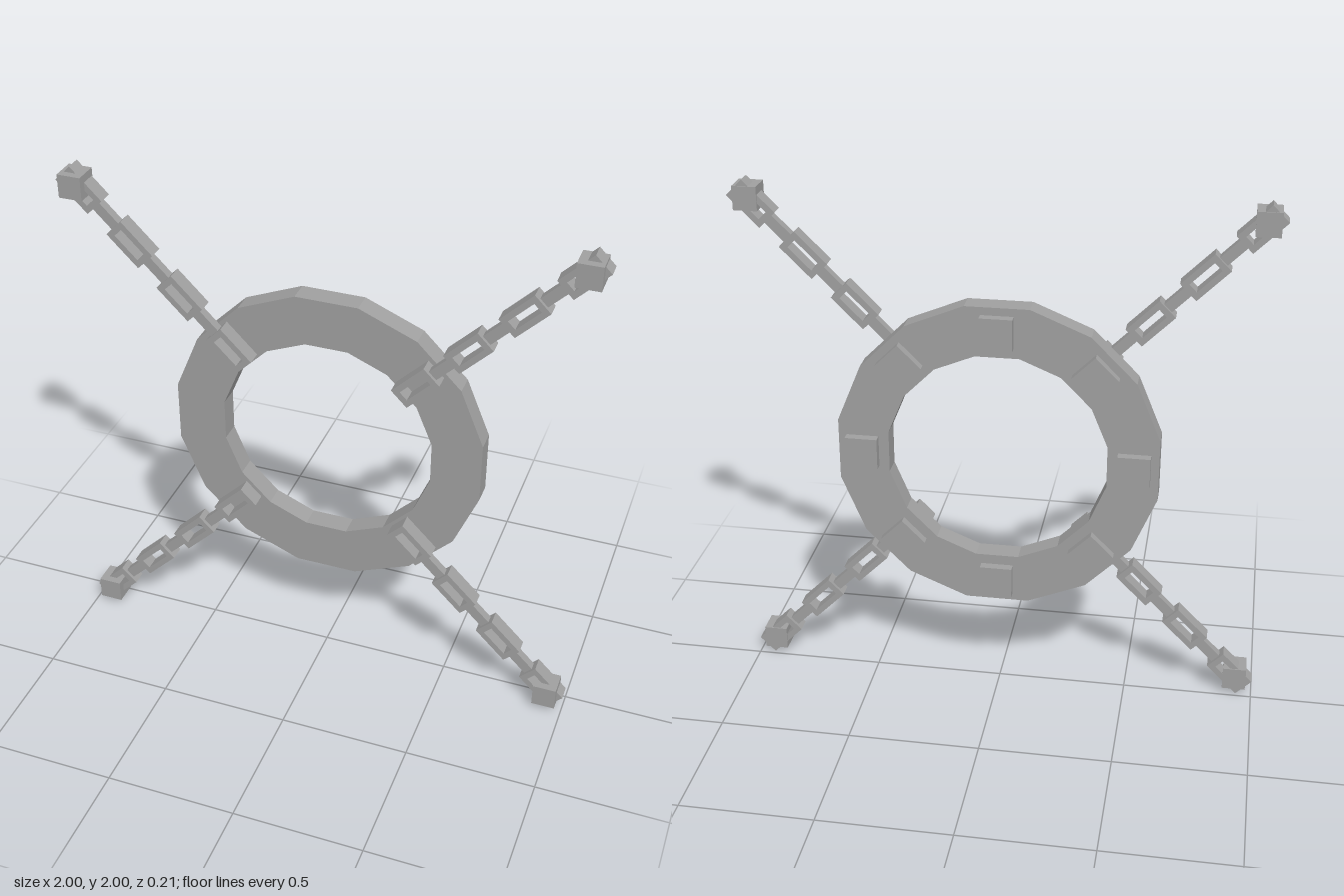
import * as THREE from 'three';

const CENTER_Y = 1;
const LINK = { length: 0.165, width: 0.085, bar: 0.023, depth: 0.06, z: 0.045 };
const LINK_SPACING = 0.2615;
const LAST_LINK = 1.289;

// Regular polygon outline, flat side up
function polygon(target, radius, sides) {
  const points = [];
  for (let i = 0; i < sides; i++) {
    const a = ((i + 0.5) / sides) * Math.PI * 2;
    points.push(new THREE.Vector2(Math.cos(a) * radius, Math.sin(a) * radius));
  }
  return target.setFromPoints(points);
}

function rectangle(target, w, h) {
  return target.setFromPoints([
    new THREE.Vector2(-w / 2, -h / 2), new THREE.Vector2(w / 2, -h / 2),
    new THREE.Vector2(w / 2, h / 2), new THREE.Vector2(-w / 2, h / 2),
  ]);
}

// Outline with a hole, extruded from z = 0 to z = depth
function extrudeFrame(shape, hole, depth) {
  shape.holes.push(hole);
  return new THREE.ExtrudeGeometry(shape, { depth, bevelEnabled: false });
}

export function createModel() {
  const metal = new THREE.MeshStandardMaterial({ color: 0xa0a0a0 });
  metal.name = 'grey metal';

  const model = new THREE.Group();
  model.name = 'chainedRing';
  const add = (parent, name, geometry, x, y, z) => {
    const mesh = new THREE.Mesh(geometry, metal);
    mesh.name = name;
    mesh.position.set(x, y, z);
    parent.add(mesh);
    return mesh;
  };

  // Sixteen-sided ring
  const ringGeometry = extrudeFrame(
    polygon(new THREE.Shape(), 0.613, 16), polygon(new THREE.Path(), 0.418, 16), 0.082);
  add(model, 'ring', ringGeometry, 0, CENTER_Y, -0.07);

  // Eight square pads on the back of the ring
  const padGeometry = new THREE.BoxGeometry(0.122, 0.122, 0.044);
  for (let i = 0; i < 8; i++) {
    const a = (i / 8) * Math.PI * 2;
    const pad = add(model, 'backPad', padGeometry,
      Math.cos(a) * 0.51, CENTER_Y + Math.sin(a) * 0.51, -0.082);
    pad.rotation.z = a;
  }

  // Four diagonal chains, each running outward along its own x axis
  const linkGeometry = extrudeFrame(
    rectangle(new THREE.Shape(), LINK.length, LINK.width),
    rectangle(new THREE.Path(), LINK.length - 2 * LINK.bar, LINK.width - 2 * LINK.bar),
    LINK.depth);
  linkGeometry.translate(0, 0, -LINK.depth / 2);
  const connectorGeometry = new THREE.BoxGeometry(LINK_SPACING - LINK.length + 0.02, 0.04, 0.034);
  const blockGeometry = new THREE.BoxGeometry(0.09, 0.09, 0.094);

  for (let c = 0; c < 4; c++) {
    const angle = Math.PI / 4 + (c * Math.PI) / 2;
    const chain = new THREE.Group();
    chain.name = 'chain';
    chain.position.set(0, CENTER_Y, LINK.z);
    chain.rotation.z = angle;
    model.add(chain);

    for (let i = 0; i < 4; i++) {
      const d = LAST_LINK - i * LINK_SPACING;
      add(chain, 'chainLink', linkGeometry, d, 0, 0);
      if (i > 0) add(chain, 'chainConnector', connectorGeometry, d + LINK_SPACING / 2, 0, 0);
    }

    // Square anchor block at the chain's outer end
    add(model, 'anchorBlock', blockGeometry,
      Math.sign(Math.cos(angle)) * 0.931, CENTER_Y + Math.sign(Math.sin(angle)) * 0.931, 0.057);
  }
  return model;
}
